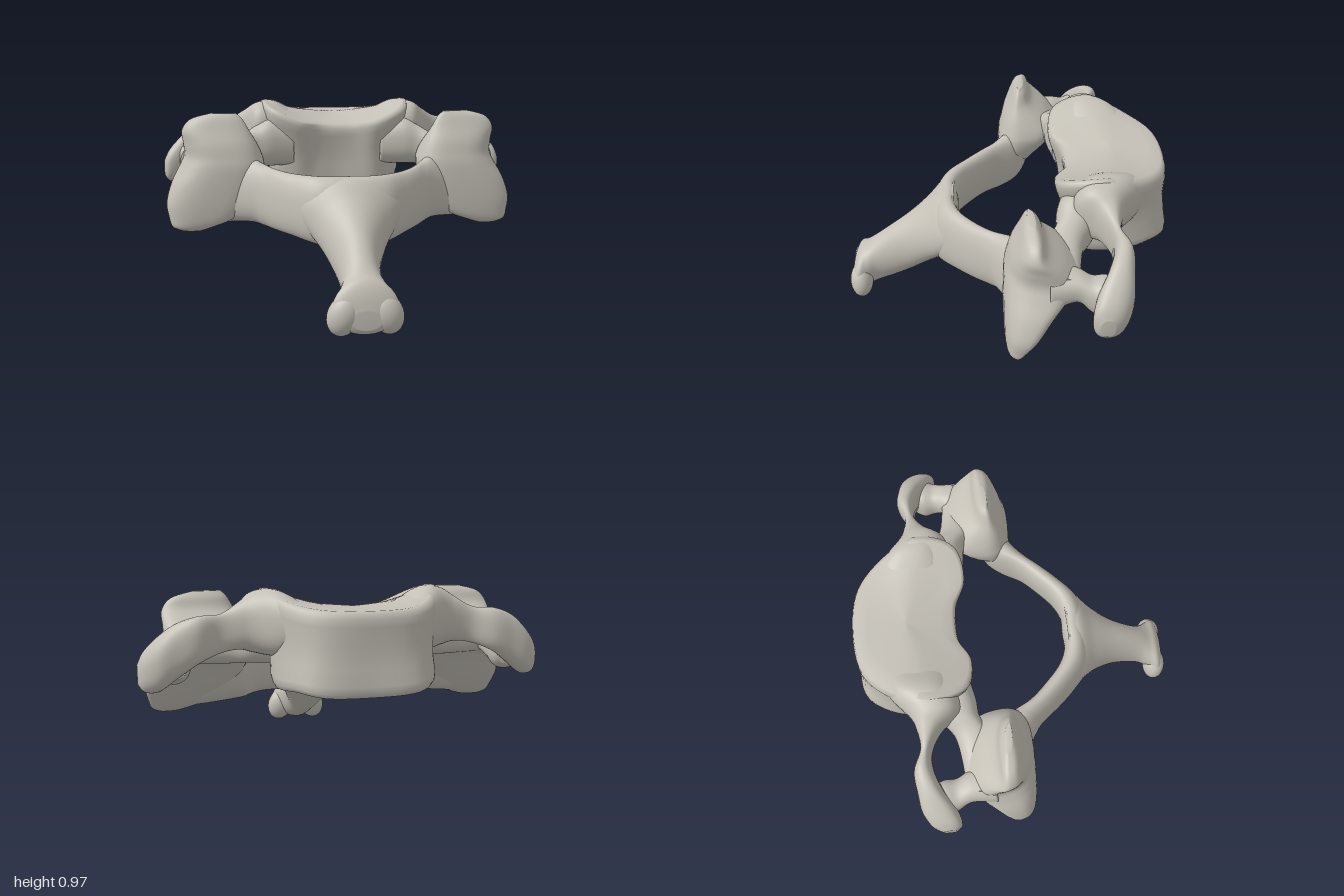
import * as THREE from 'three';

const SEGMENTS = 40;
const STEPS = 6;

// Closed skin over a list of rings; the rings run counter-clockwise about the direction of travel.
function skin(rings) {
  const n = rings[0].length, pos = [], index = [];
  rings.forEach((ring) => ring.forEach((p) => pos.push(p.x, p.y, p.z)));
  for (let i = 0; i < rings.length - 1; i++) {
    for (let j = 0; j < n; j++) {
      const a = i * n + j, b = i * n + (j + 1) % n;
      index.push(a, b, b + n, a, b + n, a + n);
    }
  }
  [0, rings.length - 1].forEach((r, end) => {
    const c = new THREE.Vector3();
    rings[r].forEach((p) => c.addScaledVector(p, 1 / n));
    const centre = pos.length / 3;
    pos.push(c.x, c.y, c.z);
    for (let j = 0; j < n; j++) {
      const a = r * n + j, b = r * n + (j + 1) % n;
      if (end) index.push(centre, a, b);
      else index.push(centre, b, a);
    }
  });
  const geo = new THREE.BufferGeometry();
  geo.setAttribute('position', new THREE.Float32BufferAttribute(pos, 3));
  geo.setIndex(index);
  geo.computeVertexNormals();
  return geo;
}

function catmull(a, b, c, d, t) {
  return b + 0.5 * t * (c - a + t * (2 * a - 5 * b + 4 * c - d + t * (3 * (b - c) + d - a)));
}

// Smooth loft along one axis. Station: [place, low, high, low, high] on the next two axes in x-y-z order.
// Lean shears the section: the second of those axes drops toward the high side of the first.
function loft(axis, stations, power = 2.4, lean = 0) {
  const k = 'xyz'.indexOf(axis), rings = [], last = stations.length - 1;
  const round = (v) => Math.sign(v) * Math.abs(v) ** (2 / power);
  for (let i = 0; i <= last * STEPS; i++) {
    const s = Math.min(Math.floor(i / STEPS), last - 1), t = i / STEPS - s;
    const at = (m) => stations[Math.min(Math.max(m, 0), last)];
    const v = stations[0].map((_, m) => catmull(at(s - 1)[m], at(s)[m], at(s + 1)[m], at(s + 2)[m], t));
    const ring = [];
    for (let j = 0; j < SEGMENTS; j++) {
      const angle = (j / SEGMENTS) * Math.PI * 2, p = [0, 0, 0];
      const a = round(Math.cos(angle)), b = round(Math.sin(angle));
      p[k] = v[0];
      p[(k + 1) % 3] = (v[1] + v[2]) / 2 + a * (v[2] - v[1]) / 2;
      p[(k + 2) % 3] = (v[3] + v[4]) / 2 + b * (v[4] - v[3]) / 2 - a * lean;
      ring.push(new THREE.Vector3(...p));
    }
    rings.push(ring);
  }
  return skin(rings);
}

// Copy reflected in x, with its faces turned back outward
function mirrored(geo) {
  const copy = geo.clone().scale(-1, 1, 1), idx = copy.index.array;
  for (let i = 0; i < idx.length; i += 3) [idx[i], idx[i + 1]] = [idx[i + 1], idx[i]];
  copy.computeVertexNormals();
  return copy;
}

// Symmetric closed outline from its left half [x, z], front to back
function outline(half) {
  const back = half.slice(1, -1).reverse().map(([x, z]) => [-x, z]);
  const pts = [...half, ...back].map(([x, z]) => new THREE.Vector3(x, 0, z));
  return new THREE.CatmullRomCurve3(pts, true).getPoints(84).slice(0, -1);
}

// Solid block: shallow saddle top with raised side lips, hollowed underside
function bodyGeometry() {
  const { lerp, smoothstep, clamp } = THREE.MathUtils;
  const low = outline([[0, -0.36], [0.12, -0.35], [0.25, -0.35], [0.35, -0.42], [0.38, -0.55], [0.35, -0.72], [0.25, -0.84], [0, -0.855]]);
  const high = outline([[0, -0.32], [0.1, -0.31], [0.22, -0.25], [0.38, -0.28], [0.44, -0.46], [0.37, -0.65], [0.22, -0.795], [0, -0.835]]);
  const topY = (x, z) => 0.89 + 0.55 * x * x * clamp((z + 0.85) / 0.35, 0, 1)
    - 0.06 * smoothstep(z, -0.6, -0.27) * Math.max(0, 1 - 4 * x * x);
  const lowY = (x, z) => 0.455 + 0.09 * (-z - 0.35) + 0.2 * x * x
    + 0.05 * smoothstep(-z, 0.38, 0.7) * (1 - smoothstep(-z, 0.72, 0.86)) * Math.max(0, 1 - 7 * x * x);
  // [level from bottom to top, scale of the outline]
  const profile = [[0, 0.05], [0, 0.3], [0, 0.6], [0, 0.88], [0.02, 0.96], [0.07, 0.99], [0.15, 1], [0.35, 0.97], [0.6, 0.96],
    [0.82, 1], [0.91, 0.995], [0.97, 0.97], [1, 0.91], [1, 0.7], [1, 0.4], [1, 0.05]];
  return skin(profile.map(([level, s]) => low.map((p, i) => {
    const x = lerp(p.x, high[i].x, level) * s;
    const z = -0.57 + (lerp(p.z, high[i].z, level) + 0.57) * s;
    return new THREE.Vector3(x, lerp(lowY(x, z), topY(x, z), level), z);
  })));
}

export function createModel() {
  const group = new THREE.Group();
  group.name = 'neckVertebra';
  const bone = new THREE.MeshStandardMaterial({ color: 0xc4c0b6 });
  bone.name = 'bone grey';

  const add = (name, geo) => {
    const mesh = new THREE.Mesh(geo, bone);
    mesh.name = name;
    group.add(mesh);
  };
  const addPair = (name, geo) => {
    add(name + 'Left', geo);
    add(name + 'Right', mirrored(geo));
  };

  add('body', bodyGeometry());

  // Arch closing the canal at the front, leaning back at the top
  const archHalf = [
    [0.78, 0.33, 0.6, -0.14, -0.04], [0.62, 0.345, 0.66, -0.17, -0.02], [0.5, 0.35, 0.69, -0.16, 0.045],
    [0.44, 0.345, 0.67, -0.1, 0.105], [0.38, 0.34, 0.655, 0.01, 0.175], [0.3, 0.33, 0.645, 0.1, 0.26],
    [0.2, 0.31, 0.645, 0.19, 0.345], [0.1, 0.29, 0.645, 0.235, 0.375],
  ];
  const archLeft = archHalf.slice().reverse();
  const archRight = archHalf.map(([x, ...rest]) => [-x, ...rest]);
  add('arch', loft('x', [...archRight, [0, 0.29, 0.645, 0.235, 0.375], ...archLeft], 2.2, 0.025));

  // Spine sloping down and forward, flaring into a forked tip
  add('spine', loft('z', [
    [0.25, -0.29, 0.29, 0.33, 0.64], [0.32, -0.245, 0.245, 0.27, 0.635], [0.4, -0.18, 0.18, 0.2, 0.56],
    [0.5, -0.128, 0.128, 0.125, 0.475], [0.6, -0.102, 0.102, 0.07, 0.4], [0.69, -0.1, 0.1, 0.035, 0.33],
    [0.745, -0.125, 0.125, 0.02, 0.285], [0.79, -0.155, 0.155, 0.015, 0.255], [0.82, -0.14, 0.14, 0.015, 0.2],
    [0.838, -0.07, 0.07, 0.04, 0.13],
  ], 2));
  const knob = new THREE.SphereGeometry(1, 28, 20).scale(0.078, 0.1, 0.063);
  knob.rotateZ(0.35).translate(0.1, 0.098, 0.784);
  addPair('spineTip', knob);

  // Joint pillars with sloping front facets, wider toward the back
  addPair('jointPillar', loft('y', [
    [0.305, -0.055, -0.025, 0.79, 0.87], [0.325, -0.08, -0.01, 0.72, 0.92], [0.37, -0.12, 0, 0.6, 0.94],
    [0.45, -0.18, 0.005, 0.51, 0.955], [0.55, -0.25, 0.005, 0.45, 0.93], [0.64, -0.325, 0, 0.43, 0.885],
    [0.7, -0.34, -0.012, 0.44, 0.86], [0.77, -0.28, -0.03, 0.47, 0.86], [0.84, -0.195, -0.06, 0.51, 0.86],
    [0.9, -0.165, -0.085, 0.545, 0.81], [0.93, -0.14, -0.105, 0.58, 0.7],
  ], 2.7, 0.025));

  // Side bars framing the opening beside the body
  addPair('pedicle', loft('x', [
    [0.25, 0.6, 0.84, -0.5, -0.29], [0.38, 0.6, 0.87, -0.47, -0.26], [0.47, 0.6, 0.83, -0.44, -0.25],
    [0.56, 0.59, 0.78, -0.38, -0.2], [0.7, 0.59, 0.74, -0.355, -0.17], [0.84, 0.59, 0.74, -0.35, -0.18],
  ]));
  addPair('backBar', loft('x', [
    [0.25, 0.7, 0.91, -0.73, -0.35], [0.36, 0.66, 0.965, -0.67, -0.34], [0.46, 0.67, 0.955, -0.585, -0.34],
    [0.53, 0.69, 0.91, -0.555, -0.43], [0.62, 0.68, 0.86, -0.545, -0.49], [0.72, 0.64, 0.855, -0.585, -0.49],
    [0.82, 0.57, 0.82, -0.58, -0.45], [0.9, 0.51, 0.76, -0.57, -0.4], [0.965, 0.505, 0.69, -0.53, -0.385],
    [0.995, 0.54, 0.63, -0.48, -0.415],
  ]));
  addPair('sideBar', loft('z', [
    [-0.5, 0.77, 0.9, 0.56, 0.72], [-0.45, 0.75, 0.93, 0.53, 0.735], [-0.39, 0.75, 0.9, 0.56, 0.725],
    [-0.32, 0.72, 0.875, 0.6, 0.745], [-0.2, 0.68, 0.885, 0.53, 0.75],
  ]));
  return group;
}
